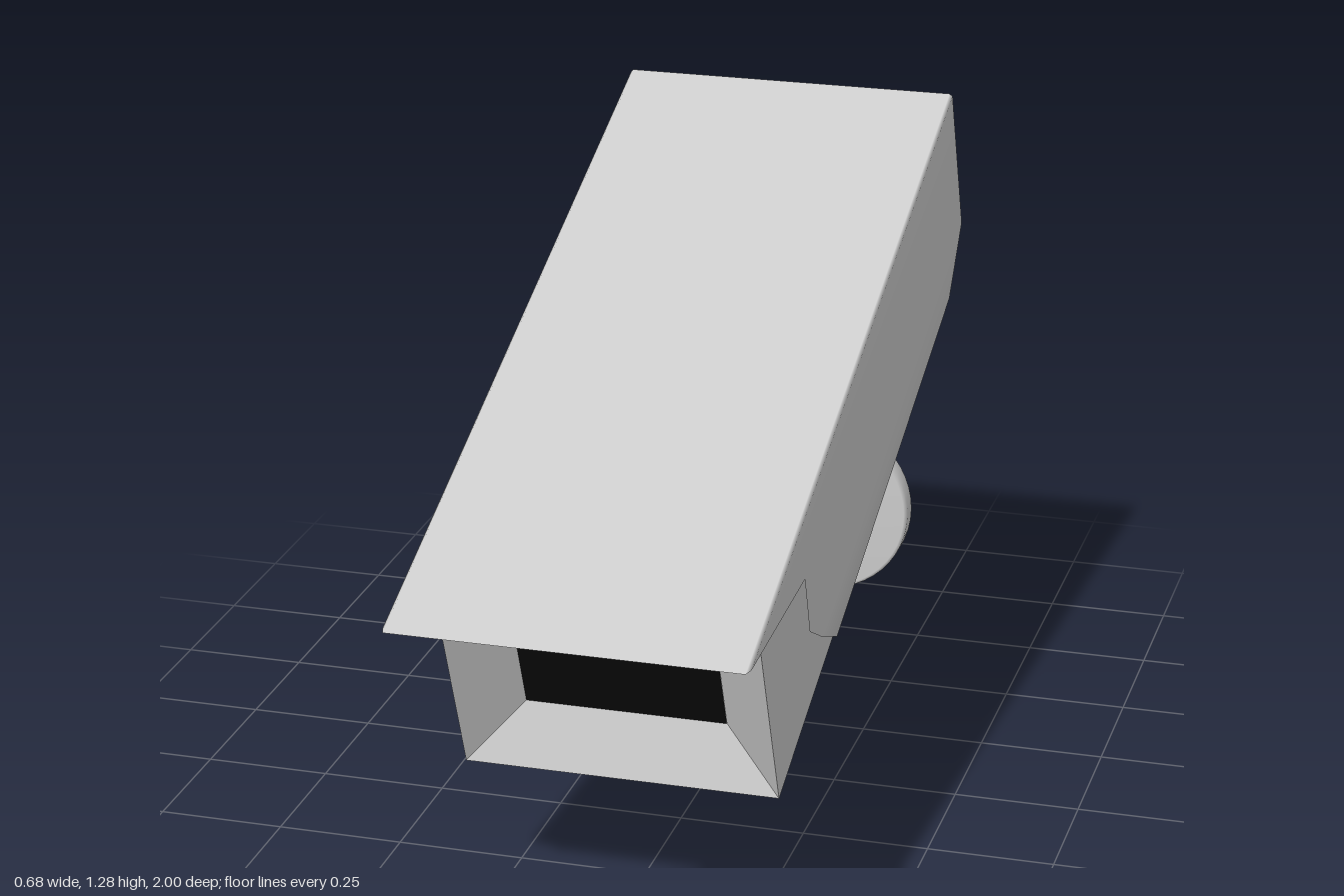
import * as THREE from 'three';

const TILT = 0.368;   // downward tilt of the housing
const ARM_X = -0.018; // bracket sits slightly off centre

const grey = (opts = {}) => new THREE.MeshStandardMaterial({ color: 0xcccccc, ...opts });

function add(parent, name, geometry, material = grey()) {
  const mesh = new THREE.Mesh(geometry, material);
  mesh.name = name;
  parent.add(mesh);
  return mesh;
}

// Indexed surface joining equal-length rows of points.
function loft(rows, closed) {
  const n = rows[0].length, index = [];
  for (let r = 0; r < rows.length - 1; r++) {
    for (let i = 0; i < (closed ? n : n - 1); i++) {
      const j = (i + 1) % n;
      const a = r * n + i, b = r * n + j, c = a + n, d = b + n;
      index.push(a, b, c, b, d, c);
    }
  }
  const g = new THREE.BufferGeometry();
  g.setAttribute('position', new THREE.Float32BufferAttribute(rows.flat(2), 3));
  g.setIndex(index);
  g.computeVertexNormals();
  return g;
}

// Round rod between two points.
function rod(parent, name, from, to, radius) {
  const a = new THREE.Vector3(...from), b = new THREE.Vector3(...to);
  const dir = b.clone().sub(a);
  const mesh = add(parent, name, new THREE.CylinderGeometry(radius, radius, dir.length(), 24));
  mesh.position.copy(a).add(b).multiplyScalar(0.5);
  mesh.quaternion.setFromUnitVectors(new THREE.Vector3(0, 1, 0), dir.normalize());
  return mesh;
}

function createHousing() {
  const housing = new THREE.Group();
  housing.name = 'housing';
  housing.rotation.x = TILT;

  // Main box with a chamfered lower rear edge
  const side = new THREE.Shape([
    [0.43, 0.49], [0.43, 0.97], [-0.994, 0.97], [-0.994, 0.66], [-0.726, 0.49],
  ].map(p => new THREE.Vector2(...p)));
  const box = new THREE.ExtrudeGeometry(side, { depth: 0.61, bevelEnabled: false });
  box.rotateY(-Math.PI / 2).translate(0.305, 0, 0);
  add(housing, 'body', box);

  // Front bezel sloping in to the recessed window
  const ring = (x, bottom, top, z) => [[x, bottom, z], [x, top, z], [-x, top, z], [-x, bottom, z]];
  const bezel = loft([
    ring(0.195, 0.592, 0.873, 0.432),
    ring(0.305, 0.49, 0.97, 0.51),
    ring(0.305, 0.49, 0.97, 0.43),
  ], true);
  add(housing, 'frontBezel', bezel, grey({ flatShading: true, side: THREE.DoubleSide }));

  const glass = add(housing, 'window', new THREE.PlaneGeometry(0.39, 0.281),
    new THREE.MeshStandardMaterial({ color: 0x0a0a0a }));
  glass.position.set(0, 0.7325, 0.433);

  // Sunshield: x, height, front end, rear end of each line down one side
  const half = [
    [0.334, 0.994, 0.688, -0.994],
    [0.34, 0.988, 0.67, -0.994],
    [0.34, 0.873, 0.317, -0.994],
    [0.34, 0.746, 0.323, -0.994],
    [0.34, 0.661, 0.25, -0.994],
    [0.338, 0.57, 0.155, -0.855],
    [0.307, 0.545, 0.122, -0.815],
  ];
  const lines = [...half].reverse().concat(half.map(([x, ...rest]) => [-x, ...rest]));
  const shield = loft(lines.map(([x, y, f, b]) => [[x, y, f], [x, y, b]]), false);
  add(housing, 'sunshield', shield, grey({ side: THREE.DoubleSide }));

  // Two mounting rails under the body
  for (const s of [-1, 1]) {
    const rail = add(housing, s > 0 ? 'leftRail' : 'rightRail', new THREE.BoxGeometry(0.02, 0.016, 1));
    rail.position.set(s * 0.26, 0.484, -0.17);
  }

  // Domed joint under the body
  const dome = new THREE.SphereGeometry(0.07, 32, 12, 0, Math.PI * 2, Math.PI / 2, Math.PI / 2);
  const joint = add(housing, 'joint', dome);
  joint.scale.y = 0.75;
  joint.position.set(ARM_X, 0.491, -0.317);
  return housing;
}

function createBracket() {
  const bracket = new THREE.Group();
  bracket.name = 'bracket';
  rod(bracket, 'upperArm', [ARM_X, 0.55, -0.127], [ARM_X, 0.262, -0.294], 0.024);
  rod(bracket, 'wallArm', [ARM_X, 0.2, -0.315], [ARM_X, 0.2, -0.9], 0.024);

  // Hub and wall plate, turned about the wall arm
  const turned = (name, profile) => {
    const g = new THREE.LatheGeometry(profile.map(p => new THREE.Vector2(...p)), 48);
    const mesh = add(bracket, name, g);
    mesh.rotation.x = Math.PI / 2;
    mesh.position.set(ARM_X, 0.196, -1);
  };
  turned('hub', [[0.1, 0.05], [0.1, 0.113], [0, 0.113]]);
  turned('wallPlate', [[0, 0], [0.186, 0], [0.195, 0.008], [0.195, 0.046], [0.188, 0.054], [0, 0.054]]);
  return bracket;
}

export function createModel() {
  const model = new THREE.Group();
  model.name = 'securityCamera';
  model.add(createHousing(), createBracket());
  return model;
}
